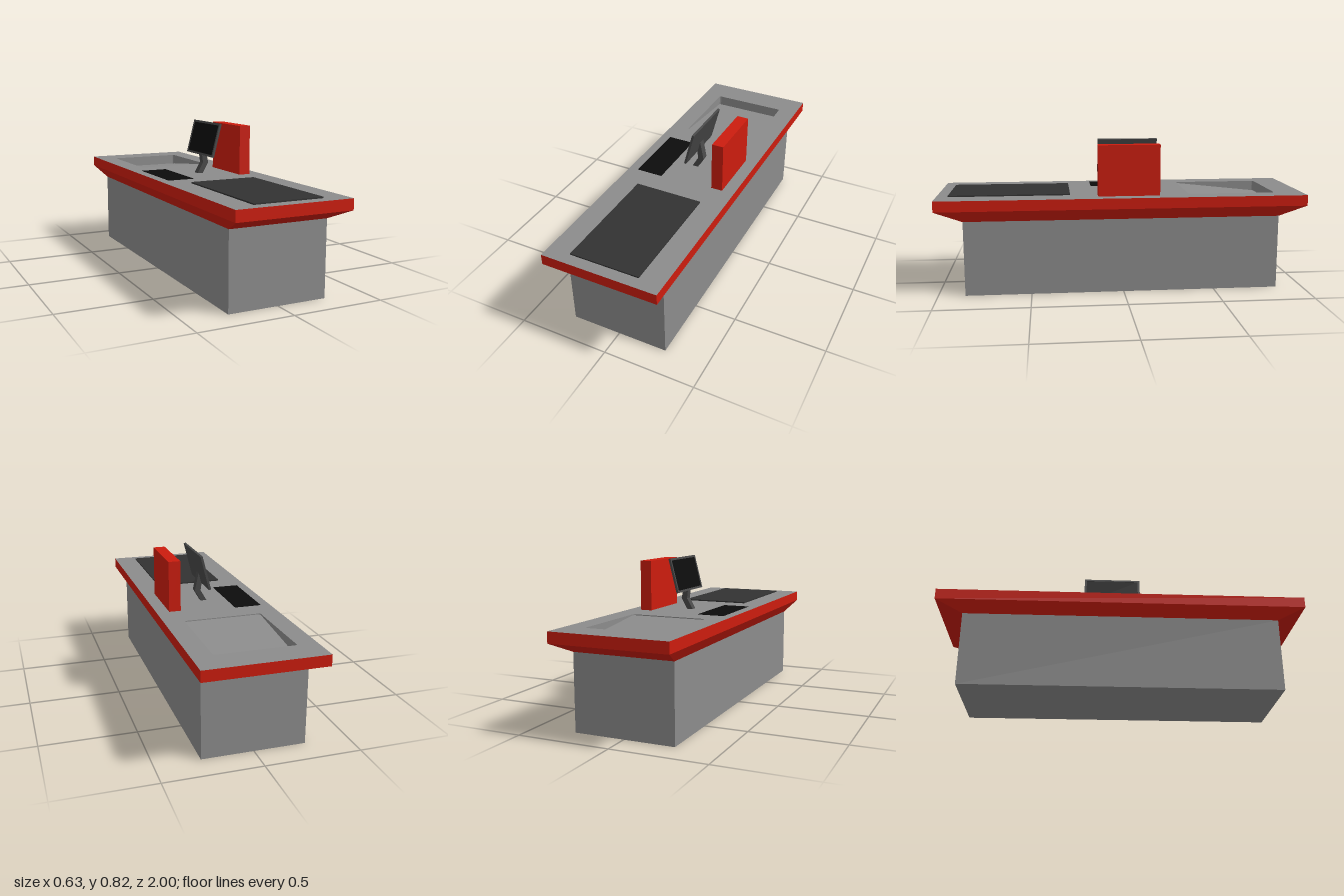
import * as THREE from 'three';

const TOP = 0.525;
const mat = (color, side = THREE.FrontSide) => new THREE.MeshStandardMaterial({ color, side });
const grey = mat(0x8c8c8c), red = mat(0xcc1c0e), dark = mat(0x323232);
const frameGrey = mat(0x484848), black = mat(0x0c0c0c);

function add(parent, name, geometry, material) {
  const mesh = new THREE.Mesh(geometry, material);
  mesh.name = name;
  parent.add(mesh);
  return mesh;
}

// Box given by its min and max limits on each axis
function block(parent, name, [x0, x1], [y0, y1], [z0, z1], material) {
  const g = new THREE.BoxGeometry(x1 - x0, y1 - y0, z1 - z0);
  g.translate((x0 + x1) / 2, (y0 + y1) / 2, (z0 + z1) / 2);
  return add(parent, name, g, material);
}

// Four-sided open band between a lower and an upper rectangle (half sizes)
function band(y0, [x0, z0], y1, [x1, z1]) {
  const g = new THREE.CylinderGeometry(1, 1, 1, 4, 1, true, Math.PI / 4).toNonIndexed();
  const p = g.attributes.position;
  for (let i = 0; i < p.count; i++) {
    const up = p.getY(i) > 0;
    p.setXYZ(i, Math.sign(p.getX(i)) * (up ? x1 : x0), up ? y1 : y0, Math.sign(p.getZ(i)) * (up ? z1 : z0));
  }
  g.computeVertexNormals();
  return g;
}

// Counter-clockwise rectangle outline with small rounded corners
function roundedOutline(x0, x1, y0, y1, r, steps = 3) {
  const centres = [[x1 - r, y1 - r], [x0 + r, y1 - r], [x0 + r, y0 + r], [x1 - r, y0 + r]];
  const pts = [];
  centres.forEach(([cx, cy], k) => {
    for (let i = 0; i <= steps; i++) {
      const a = (k + i / steps) * Math.PI / 2;
      pts.push(new THREE.Vector2(cx + r * Math.cos(a), cy + r * Math.sin(a)));
    }
  });
  return pts;
}

export function createModel() {
  const model = new THREE.Group();
  model.name = 'checkoutCounter';

  // Cabinet and the red edge that flares out above it
  block(model, 'cabinet', [-0.27, 0.27], [0, 0.405], [-0.855, 0.855], grey);
  add(model, 'flaredSkirt', band(0.405, [0.27, 0.855], 0.467, [0.315, 1]), red);
  add(model, 'counterEdge', band(0.467, [0.315, 1], TOP, [0.315, 1]), red);

  // Worktop with a cut-out for the packing tray (shape y is -z)
  const outline = roundedOutline(-0.21, 0.207, 0.365, 0.845, 0.01);
  const top = new THREE.Shape([[-0.315, -1], [0.315, -1], [0.315, 1], [-0.315, 1]].map(p => new THREE.Vector2(...p)));
  top.holes.push(new THREE.Path(outline));
  add(model, 'worktop', new THREE.ShapeGeometry(top).rotateX(-Math.PI / 2).translate(0, TOP, 0), grey);

  // Packing tray: floor slopes down towards the back
  const floorY = z => TOP - THREE.MathUtils.mapLinear(z, -0.365, -0.845, 0.005, 0.058);
  const floor = new THREE.ShapeGeometry(new THREE.Shape(outline)).rotateX(-Math.PI / 2);
  const fp = floor.attributes.position;
  for (let i = 0; i < fp.count; i++) fp.setY(i, floorY(fp.getZ(i)));
  floor.computeVertexNormals();
  add(model, 'trayFloor', floor, grey);

  const wall = [];
  outline.forEach((a, i) => {
    const b = outline[(i + 1) % outline.length];
    const at = [a.x, TOP, -a.y], bt = [b.x, TOP, -b.y];
    const al = [a.x, floorY(-a.y), -a.y], bl = [b.x, floorY(-b.y), -b.y];
    wall.push(...at, ...bt, ...al, ...bt, ...bl, ...al);
  });
  const walls = new THREE.BufferGeometry();
  walls.setAttribute('position', new THREE.Float32BufferAttribute(wall, 3));
  walls.computeVertexNormals();
  add(model, 'trayWalls', walls, mat(0x8c8c8c, THREE.DoubleSide));

  // Items lying on the worktop
  block(model, 'conveyorBelt', [-0.19, 0.187], [TOP, 0.532], [0.285, 0.937], dark);
  block(model, 'scannerPlate', [-0.263, -0.115], [TOP, 0.5268], [-0.235, 0.155], black);
  block(model, 'screenDivider', [0.182, 0.246], [TOP, 0.8], [-0.2, 0.135], red);

  // Bent monitor stand
  const standShape = new THREE.Shape([
    [-0.006, TOP], [0.027, TOP], [0.061, 0.585], [0.039, 0.69], [0.022, 0.63], [0.028, 0.585],
  ].map(p => new THREE.Vector2(...p)));
  const stand = new THREE.ExtrudeGeometry(standShape, { depth: 0.04, bevelEnabled: false });
  add(model, 'monitorStand', stand.translate(0, 0, -0.06), frameGrey);

  // Monitor tilted back, screen towards -x: recessed panel inside a frame
  const monitor = new THREE.Group();
  monitor.name = 'monitor';
  const h = 0.0965, w = 0.165, rim = 0.012;
  block(monitor, 'monitorBack', [-0.002, 0.006], [-h, h], [-w, w], frameGrey);
  for (const s of [-1, 1]) {
    const y = s * (h - rim / 2), z = s * (w - rim / 2);
    block(monitor, 'frameRail', [-0.006, -0.002], [y - rim / 2, y + rim / 2], [-w, w], frameGrey);
    block(monitor, 'frameStile', [-0.006, -0.002], [-h + rim, h - rim], [z - rim / 2, z + rim / 2], frameGrey);
  }
  block(monitor, 'screen', [-0.004, -0.002], [-h + rim, h - rim], [-w + rim, w - rim], black);
  monitor.position.set(0.0425, 0.7225, -0.04);
  monitor.rotation.z = -0.253;
  model.add(monitor);

  return model;
}
